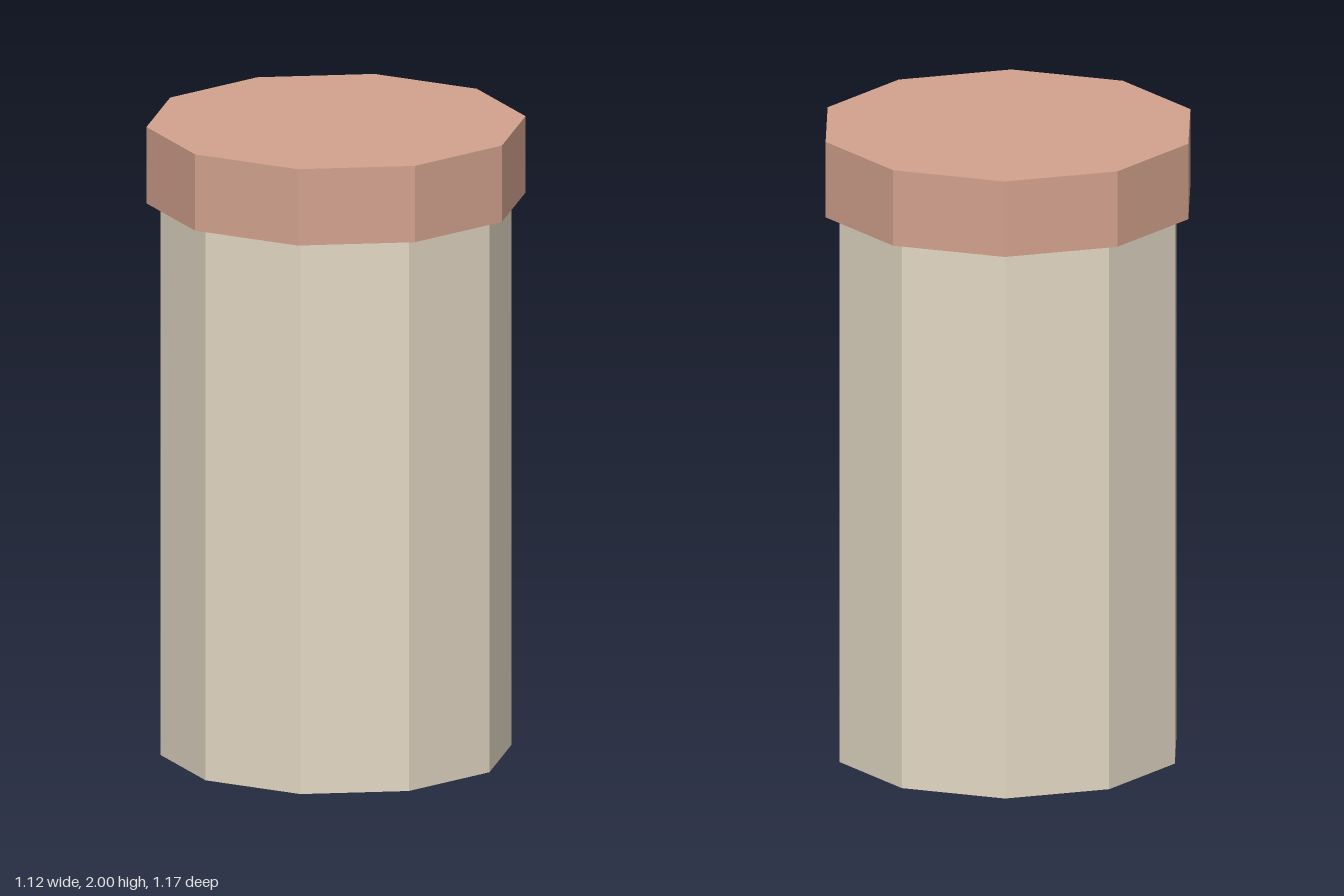
import * as THREE from 'three';

const SIDES = 10;

export function createModel() {
  const model = new THREE.Group();
  model.name = 'liddedJar';

  const cream = new THREE.MeshStandardMaterial({ color: 0xe3d8c4, flatShading: true });
  cream.name = 'cream';
  const clay = new THREE.MeshStandardMaterial({ color: 0xd3a28e, flatShading: true });
  clay.name = 'clay pink';

  // Ten-sided prism between two heights, with a corner facing front
  function prism(name, radius, bottom, top, material) {
    const height = top - bottom;
    const mesh = new THREE.Mesh(new THREE.CylinderGeometry(radius, radius, height, SIDES), material);
    mesh.name = name;
    mesh.position.y = bottom + height / 2;
    model.add(mesh);
  }

  // Tall body
  prism('body', 0.543, 0, 1.757, cream);
  // Wider lid
  prism('lid', 0.587, 1.757, 2, clay);

  return model;
}
